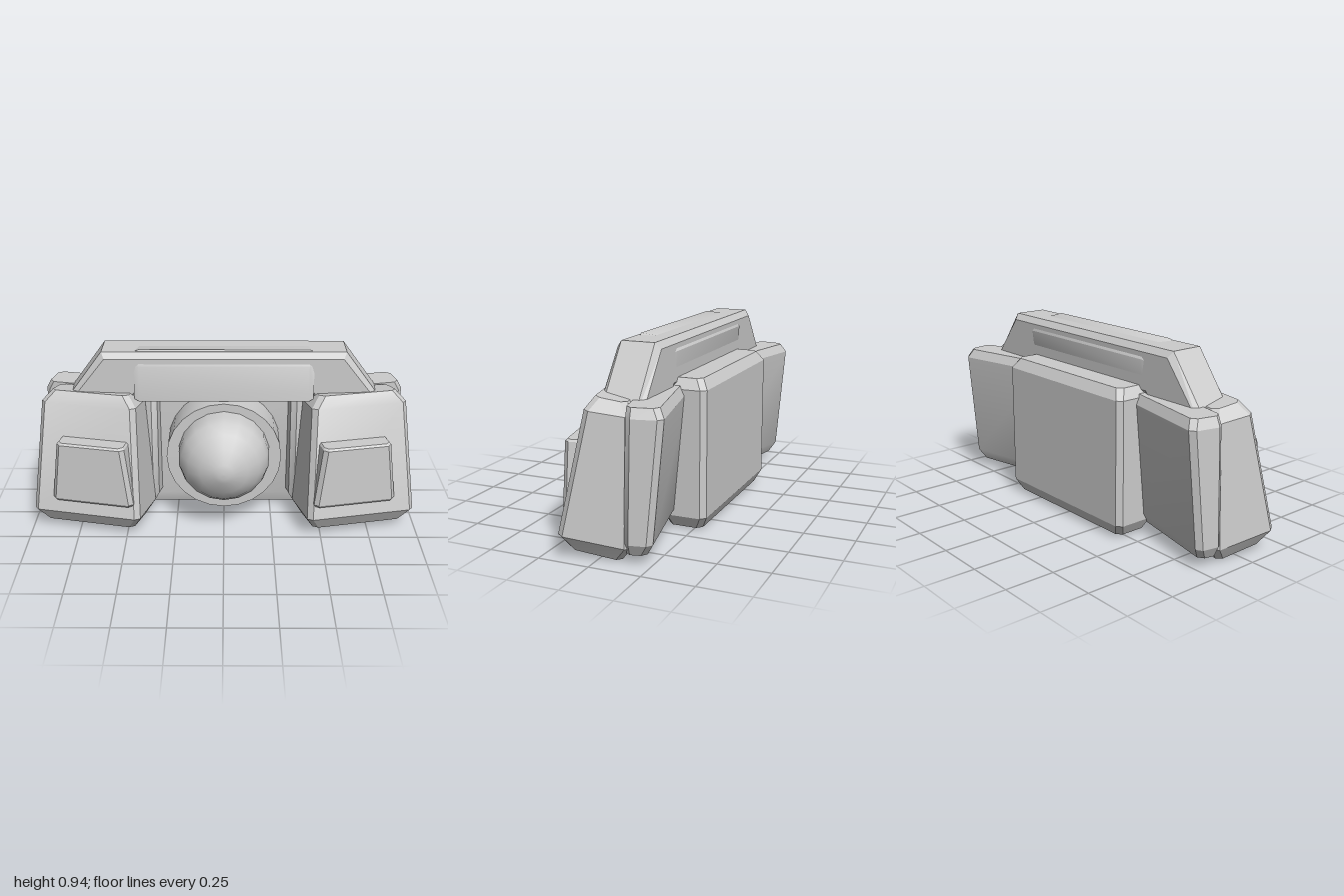
import * as THREE from 'three';
import { toCreasedNormals } from 'three/addons/utils/BufferGeometryUtils.js';

const shell = new THREE.MeshStandardMaterial({ color: 0xcccccc });
shell.name = 'lightGreyShell';

function part(parent, name, geometry) {
  const mesh = new THREE.Mesh(geometry, shell);
  mesh.name = name;
  parent.add(mesh);
  return mesh;
}

// Joins closed cross-sections (counterclockwise about the loft direction) and caps both ends
function loft(rings, crease = 0.45) {
  const n = rings[0].length;
  const index = [];
  for (let r = 0; r < rings.length - 1; r++) {
    for (let i = 0; i < n; i++) {
      const a = r * n + i, b = r * n + (i + 1) % n;
      index.push(a, b, b + n, a, b + n, a + n);
    }
  }
  const top = (rings.length - 1) * n;
  for (let i = 1; i < n - 1; i++) {
    index.push(0, i + 1, i, top, top + i, top + i + 1);
  }
  const geo = new THREE.BufferGeometry();
  geo.setAttribute('position', new THREE.Float32BufferAttribute(rings.flat(2), 3));
  geo.setIndex(index);
  return toCreasedNormals(geo, crease);
}

// Horizontal rectangle with cut corners; its height may differ from front to back
function section(half, back, front, yFront, yBack = yFront, cut = 0.025) {
  const y = z => yBack + (yFront - yBack) * (z - back) / (front - back);
  return [
    [-half + cut, front], [half - cut, front], [half, front - cut], [half, back + cut],
    [half - cut, back], [-half + cut, back], [-half, back + cut], [-half, front - cut],
  ].map(([x, z]) => [x, y(z), z]);
}

export function createModel() {
  const model = new THREE.Group();
  model.name = 'device';

  // Central housing
  part(model, 'centralHousing', loft([
    section(0.41, -0.29, -0.12, 0.01),
    section(0.445, -0.32, -0.1, 0.07),
    section(0.445, -0.32, -0.1, 0.69),
    section(0.41, -0.288, -0.14, 0.74),
  ]));

  // Round base and dome on the front
  const base = part(model, 'domeBase', toCreasedNormals(new THREE.CylinderGeometry(0.295, 0.295, 0.2, 24), 0.5));
  base.rotation.x = Math.PI / 2;
  base.position.set(0, 0.38, -0.02);
  const domeProfile = [
    [0.235, 0.05], [0.232, 0.14], [0.218, 0.185], [0.18, 0.24],
    [0.12, 0.287], [0.05, 0.316], [0.025, 0.323], [0, 0.324],
  ].map(([r, z]) => new THREE.Vector2(r, z));
  const dome = part(model, 'dome', new THREE.LatheGeometry(domeProfile, 18));
  dome.rotation.x = Math.PI / 2;
  dome.position.y = 0.4;

  // Angled side pods, each with a front pad and a rear panel
  for (const side of [1, -1]) {
    const pod = new THREE.Group();
    pod.name = side > 0 ? 'leftPod' : 'rightPod';
    pod.position.set(side * 0.71, 0, 0.22);
    pod.rotation.y = side * 0.21;
    model.add(pod);

    part(pod, 'podBody', loft([
      section(0.24, -0.28, -0.045, 0.04, 0),
      section(0.285, -0.33, 0, 0.115, 0.07),
      section(0.247, -0.33, -0.12, 0.675, 0.65),
      section(0.2, -0.3, -0.16, 0.728, 0.705),
    ]));

    const pad = part(pod, 'frontPad', loft([
      section(0.208, -0.12, 0, 0.185, 0.185, 0.02),
      section(0.214, -0.12, 0.01, 0.2, 0.2, 0.02),
      section(0.176, -0.16, 0.004, 0.5, 0.5, 0.02),
      section(0.168, -0.16, -0.006, 0.51, 0.51, 0.02),
    ]));
    pad.position.x = side * -0.043;

    part(pod, 'rearPanel', loft([
      section(0.27, -0.4, -0.3, 0.045),
      section(0.3, -0.43, -0.3, 0.1),
      section(0.3, -0.482, -0.315, 0.66),
      section(0.275, -0.46, -0.315, 0.705),
    ]));
  }

  // Carrying handle with slanted ends running into the pods
  const outline = [
    [0.84, 0.62], [0.61, 0.93], [-0.61, 0.93], [-0.84, 0.62],
    [-0.5, 0.62], [-0.44, 0.69], [0.44, 0.69], [0.5, 0.62],
  ].map(([x, y]) => new THREE.Vector2(x, y));
  const handle = new THREE.ExtrudeGeometry(new THREE.Shape(outline), {
    depth: 0.165, bevelThickness: 0.025, bevelSize: 0.03, bevelOffset: -0.03, bevelSegments: 1,
  });
  part(model, 'handle', handle).position.z = -0.145;

  // Grip wrapped around the middle of the handle
  const gripProfile = [
    [0.07, 0.685], [0.066, 0.73], [0.05, 0.865], [0.01, 0.938], [-0.06, 0.931],
    [-0.15, 0.915], [-0.176, 0.865], [-0.172, 0.8], [-0.15, 0.685],
  ];
  const gripRing = (x, k) => gripProfile.map(([z, y]) => [x, 0.8 + (y - 0.8) * k, -0.06 + (z + 0.06) * k]);
  part(model, 'grip', loft([
    gripRing(0.45, 0.92), gripRing(0.425, 1), gripRing(-0.425, 1), gripRing(-0.45, 0.92),
  ]));

  return model;
}
